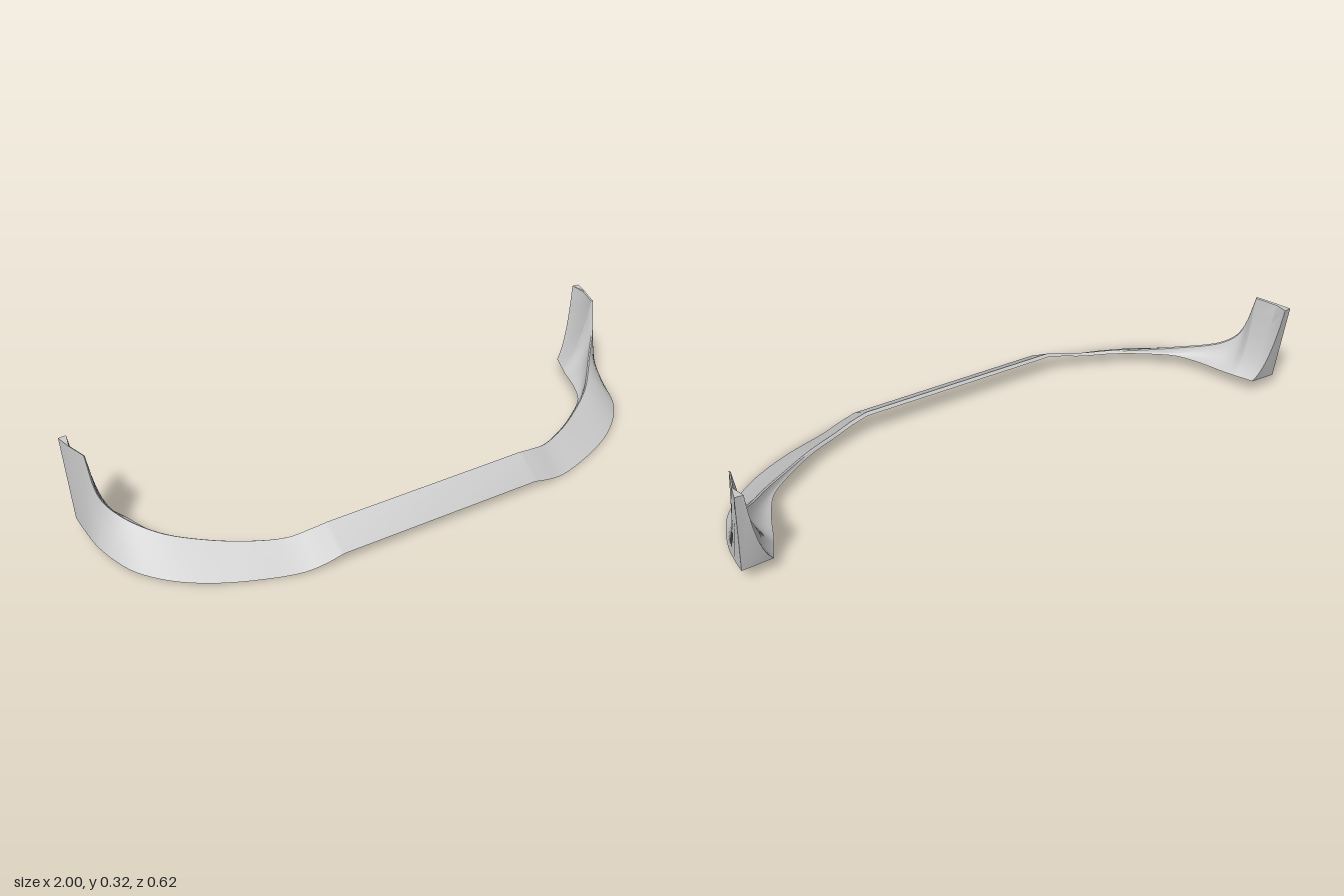
import * as THREE from 'three';
import { toCreasedNormals } from 'three/addons/utils/BufferGeometryUtils.js';

// Stations along the left half: outer lower edge, top edge, inner lower edge
const stations = [
  [[0.36, 0.032, 0.307], [0.36, 0.09, 0.208], [0.36, 0.08, 0.2]],
  [[0.42, 0.016, 0.303], [0.42, 0.079, 0.2], [0.42, 0.069, 0.192]],
  [[0.49, 0.002, 0.29], [0.49, 0.065, 0.184], [0.485, 0.056, 0.177]],
  [[0.62, 0.001, 0.25], [0.6, 0.065, 0.138], [0.595, 0.055, 0.13]],
  [[0.75, 0.002, 0.19], [0.71, 0.071, 0.072], [0.7, 0.054, 0.065]],
  [[0.85, 0.004, 0.118], [0.81, 0.085, 0], [0.78, 0.053, 0]],
  [[0.925, 0.008, 0.03], [0.87, 0.104, -0.06], [0.815, 0.052, -0.06]],
  [[0.96, 0.013, -0.05], [0.907, 0.126, -0.102], [0.836, 0.051, -0.11]],
  [[0.98, 0.019, -0.12], [0.938, 0.16, -0.135], [0.85, 0.05, -0.15]],
  [[0.987, 0.024, -0.16], [0.955, 0.205, -0.152], [0.86, 0.05, -0.18]],
  [[0.991, 0.03, -0.2], [0.965, 0.322, -0.18], [0.875, 0.05, -0.215]],
  [[0.995, 0.038, -0.24], [0.988, 0.323, -0.255], [0.89, 0.05, -0.25]],
  [[0.997, 0.045, -0.272], [1, 0.325, -0.307], [0.9, 0.05, -0.274]],
].map(row => row.map(p => new THREE.Vector3(...p)));

const SMOOTH = 10; // stations up to the front of the upright are curved
const STEPS = 4;

// Smooth rails through the curved stations, then straight runs to the rear edge
function halfRows() {
  const rails = [0, 1, 2].map(k =>
    new THREE.CatmullRomCurve3(stations.slice(0, SMOOTH + 1).map(r => r[k]), false, 'centripetal'));
  const rows = [];
  for (let i = 0; i <= SMOOTH * STEPS; i++) {
    rows.push(rails.map(c => c.getPoint(i / (SMOOTH * STEPS))));
  }
  return rows.concat(stations.slice(SMOOTH + 1));
}

// Cross-section: sloping outer face, thin top, concave inner face
function section([outer, top, inner], isEnd) {
  const lip = top.clone().add(isEnd ? new THREE.Vector3(-0.026, 0, -0.003)
    : new THREE.Vector3(-0.004, -0.003, -0.003));
  const bend = new THREE.Vector3(
    lip.x - 0.3 * (lip.x - inner.x),
    THREE.MathUtils.lerp(inner.y, lip.y, 0.2),
    (lip.z + inner.z) / 2);
  const hollow = new THREE.QuadraticBezierCurve3(lip, bend, inner);
  return [outer, outer.clone().lerp(top, 0.5), top, ...hollow.getPoints(6)];
}

function lipGeometry() {
  const half = halfRows();
  const left = half.map((r, i) => section(r, i === half.length - 1));
  const right = left.map(s => s.map(p => new THREE.Vector3(-p.x, p.y, p.z))).reverse();
  const sections = [...right, ...left];
  const n = left[0].length;
  const index = [];
  for (let s = 0; s < sections.length - 1; s++) {
    for (let i = 0; i < n; i++) {
      const j = (i + 1) % n;
      const a = s * n + i, b = a + n, c = (s + 1) * n + j, d = s * n + j;
      index.push(a, b, c, a, c, d);
    }
  }
  // Rear end faces
  const last = (sections.length - 1) * n;
  for (let j = 1; j < n - 1; j++) {
    index.push(0, j, j + 1, last, last + j + 1, last + j);
  }
  const geometry = new THREE.BufferGeometry().setFromPoints(sections.flat());
  geometry.setIndex(index);
  return toCreasedNormals(geometry, 0.5);
}

export function createModel() {
  const group = new THREE.Group();
  group.name = 'frontLip';
  const material = new THREE.MeshStandardMaterial({ color: 0xcccccc, side: THREE.DoubleSide });
  const lip = new THREE.Mesh(lipGeometry(), material);
  lip.name = 'bumperLip';
  group.add(lip);
  return group;
}
